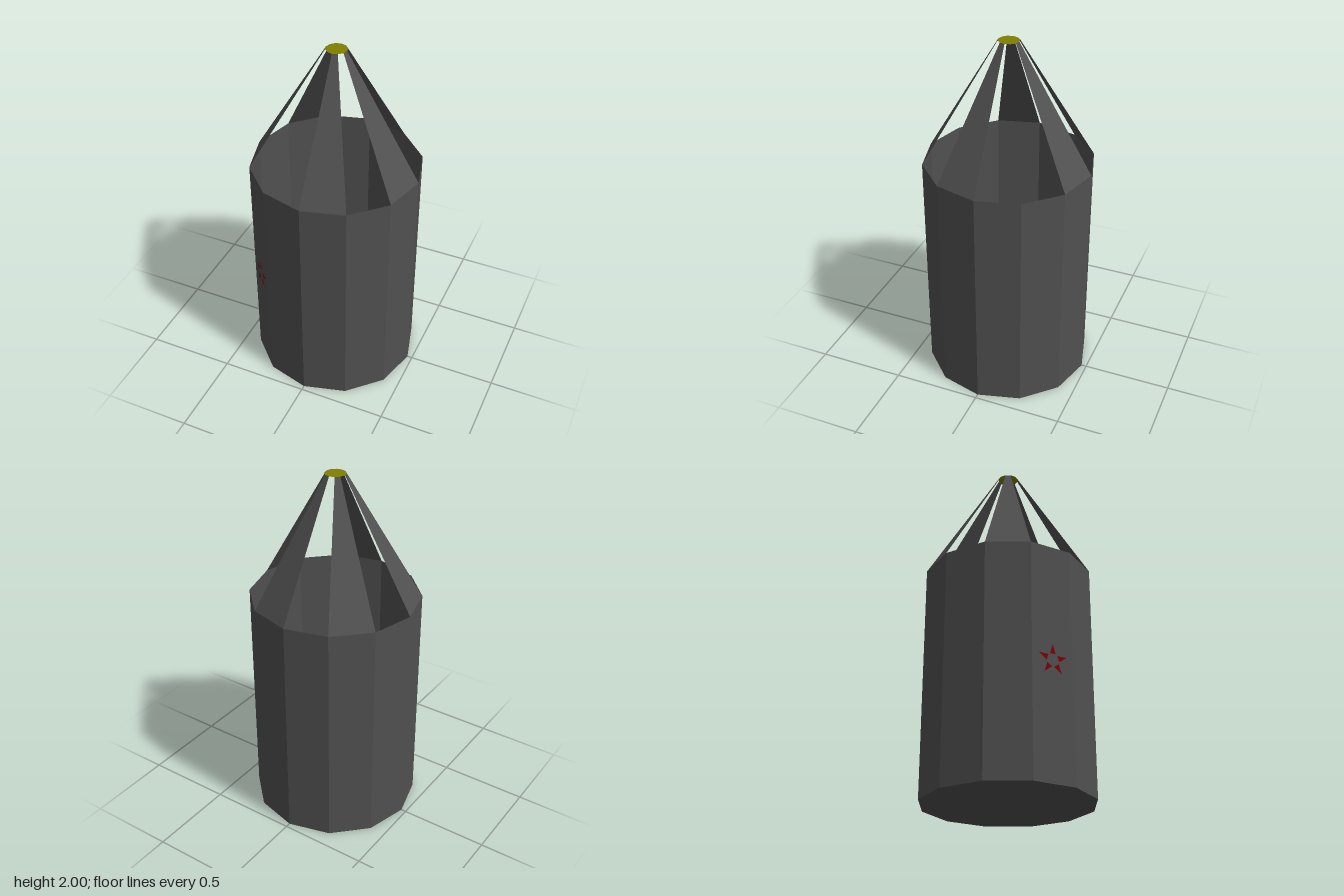
import * as THREE from 'three';

const SIDES = 12;
const STEP = (Math.PI * 2) / SIDES;
const RADIUS = 0.472;
const WALL_TOP = 1.31;
const CAP_RADIUS = 0.058;

function material(name, color) {
  const m = new THREE.MeshStandardMaterial({ color, flatShading: true, side: THREE.DoubleSide });
  m.name = name;
  return m;
}

export function createModel() {
  const group = new THREE.Group();
  group.name = 'capsule';
  const grey = material('dark grey', 0x505050);
  const yellow = material('olive yellow', 0x808000);
  const red = material('dark red', 0x800000);

  const add = (name, geometry, mat, parent = group) => {
    const mesh = new THREE.Mesh(geometry, mat);
    mesh.name = name;
    parent.add(mesh);
    return mesh;
  };

  // Open twelve-sided wall
  add('wall', new THREE.CylinderGeometry(RADIUS, RADIUS, WALL_TOP, SIDES, 1, true), grey)
    .position.y = WALL_TOP / 2;

  // Flat twelve-sided discs: floor and nose cap
  const disc = (name, radius, y, mat) => {
    const mesh = add(name, new THREE.CircleGeometry(radius, SIDES), mat);
    mesh.rotation.x = -Math.PI / 2;
    mesh.position.y = y;
  };
  disc('floor', RADIUS, 0, grey);
  disc('noseCap', CAP_RADIUS, 2, yellow);

  // Five sloping nose panels with gaps between them
  const noseHeight = 2 - WALL_TOP;
  for (const slot of [0, 2, 5, 7, 9]) {
    const panel = new THREE.CylinderGeometry(
      CAP_RADIUS, RADIUS, noseHeight, 1, 1, true, (2 - slot) * STEP, STEP);
    add('nosePanel', panel, grey).position.y = WALL_TOP + noseHeight / 2;
  }

  // Star emblem: five red points around an empty pentagon
  const star = new THREE.Group();
  star.name = 'starEmblem';
  const faceDistance = RADIUS * Math.cos(STEP / 2) + 0.003;
  star.rotation.y = -Math.PI / 4;
  star.position.set(-faceDistance * Math.SQRT1_2, 0.65, faceDistance * Math.SQRT1_2);
  const point = new THREE.Shape([
    new THREE.Vector2(-0.017, 0.034),
    new THREE.Vector2(0.017, 0.034),
    new THREE.Vector2(0, 0.088),
  ]);
  for (let i = 0; i < 5; i++) {
    add('starPoint', new THREE.ShapeGeometry(point), red, star).rotation.z = (i * Math.PI * 2) / 5;
  }
  group.add(star);

  return group;
}
